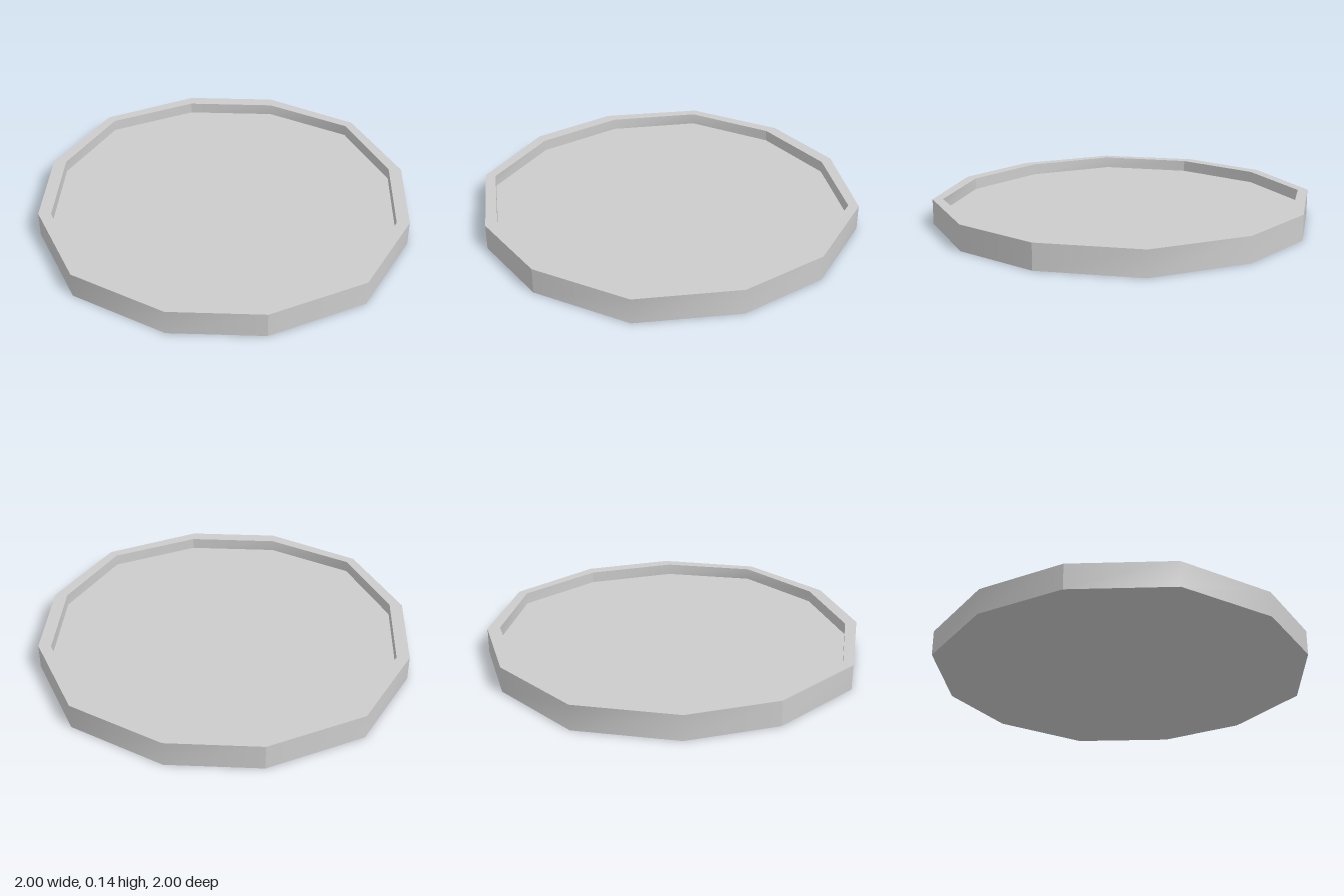
import * as THREE from 'three';
import { mergeGeometries } from 'three/addons/utils/BufferGeometryUtils.js';

const HEIGHT = 0.14, FLOOR = 0.076;
// One quarter of each twelve-sided outline, as [x, z], between two hard corners
const OUTER = [[0.25, 1], [0.745, 0.745], [1, 0.25], [1, -0.25]];
const INNER = [[0.25, 0.93], [0.705, 0.705], [0.93, 0.25], [0.93, -0.25]];

// Wall of four smooth three-sided strips that meet at hard corners.
// It faces outwards when yA < yB and inwards when yA > yB.
function wall(quarter, yA, yB) {
  const pos = [], index = [];
  quarter.forEach(([x, z], i) => {
    pos.push(x, yA, z, x, yB, z);
    if (i < quarter.length - 1) {
      const a = 2 * i;
      index.push(a, a + 2, a + 3, a, a + 3, a + 1);
    }
  });
  const strip = new THREE.BufferGeometry();
  strip.setAttribute('position', new THREE.Float32BufferAttribute(pos, 3));
  strip.setIndex(index);
  strip.computeVertexNormals();
  return mergeGeometries([0, 1, 2, 3].map(k => strip.clone().rotateY(k * Math.PI / 2)));
}

// Full outline: the quarter turned four times
function outline(quarter) {
  const pts = [];
  for (let k = 0; k < 4; k++) {
    for (const [x, z] of quarter.slice(0, 3)) {
      pts.push(new THREE.Vector2(x, z).rotateAround(new THREE.Vector2(), -k * Math.PI / 2));
    }
  }
  return pts;
}

// Flat horizontal face, turned up or down
function cap(shape, y, up) {
  return new THREE.ShapeGeometry(shape).rotateX(up ? -Math.PI / 2 : Math.PI / 2).translate(0, y, 0);
}

export function createModel() {
  const group = new THREE.Group();
  group.name = 'shallowTray';
  const material = new THREE.MeshStandardMaterial({ color: 0xcccccc });
  const add = (name, geometry) => {
    const mesh = new THREE.Mesh(geometry, material);
    mesh.name = name;
    group.add(mesh);
  };

  const rim = new THREE.Shape(outline(OUTER));
  rim.holes.push(new THREE.Path(outline(INNER)));

  add('outerWall', wall(OUTER, 0, HEIGHT));
  add('innerWall', wall(INNER, HEIGHT, FLOOR));
  add('rim', cap(rim, HEIGHT, true));
  add('floor', cap(new THREE.Shape(outline(INNER)), FLOOR, true));
  add('underside', cap(new THREE.Shape(outline(OUTER)), 0, false));
  return group;
}
